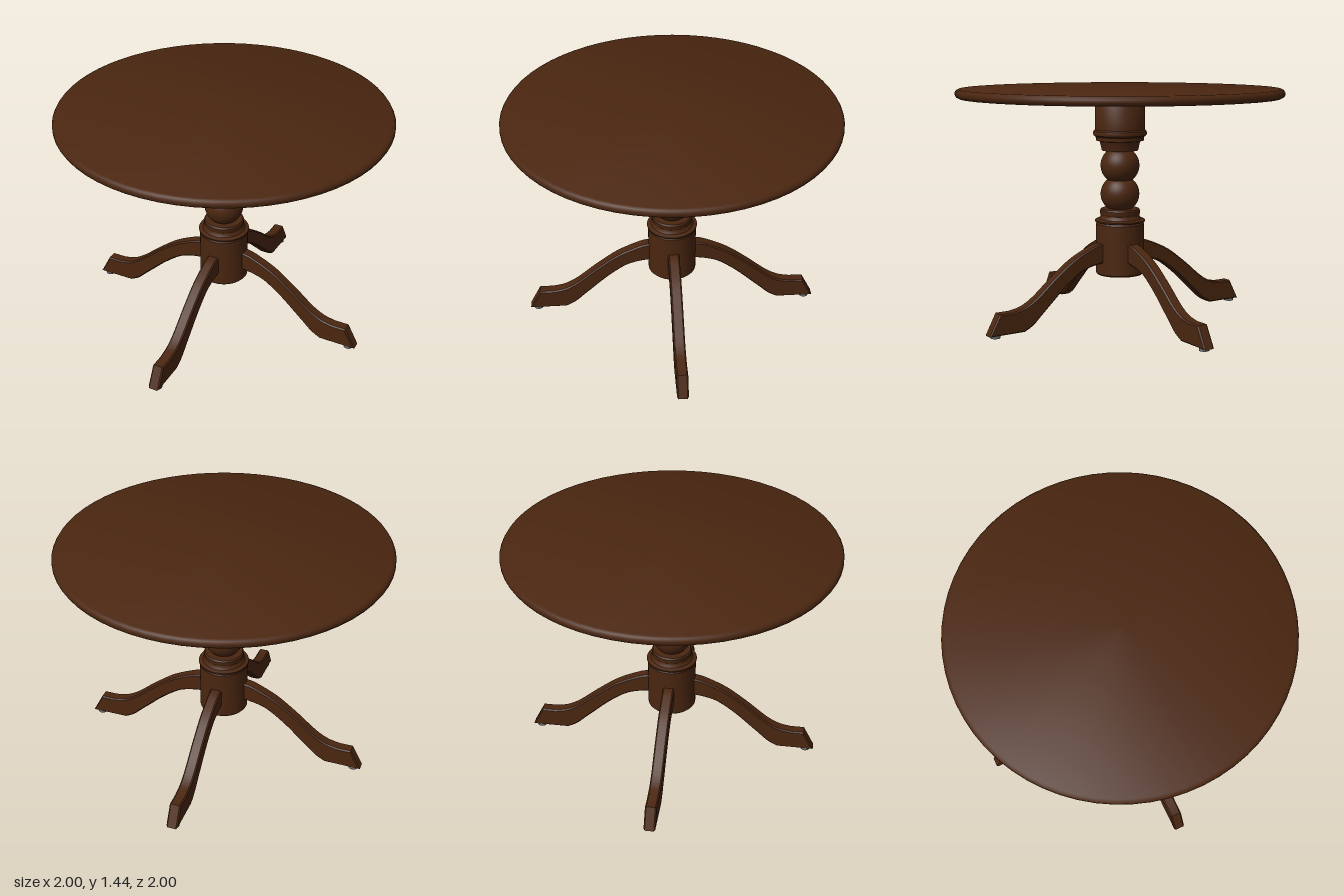
import * as THREE from 'three';
import { toCreasedNormals } from 'three/addons/utils/BufferGeometryUtils.js';

const wood = new THREE.MeshStandardMaterial({ color: 0x4a2610 });
wood.name = 'darkWood';
const pad = new THREE.MeshStandardMaterial({ color: 0x6a6c70 });
pad.name = 'greyPad';

function addMesh(parent, name, geometry, material) {
  const mesh = new THREE.Mesh(geometry, material);
  mesh.name = name;
  parent.add(mesh);
  return mesh;
}

// Turned part from [radius, height] pairs, bottom to top
function turned(profile, segments) {
  const points = profile.map(([r, y]) => new THREE.Vector2(r, y));
  return toCreasedNormals(new THREE.LatheGeometry(points, segments), 0.6);
}

// Points on a ball of the turned column between two heights
function ball(centre, radiusX, radiusY, from, to) {
  const a = Math.asin((from - centre) / radiusY);
  const b = Math.asin((to - centre) / radiusY);
  return Array.from({ length: 15 }, (_, i) => {
    const t = a + ((b - a) * i) / 14;
    return [radiusX * Math.cos(t), centre + radiusY * Math.sin(t)];
  });
}

// S-curved leg with a flared foot, drawn as distance from the axis and height
function legGeometry() {
  const bevel = 0.008, width = 0.07;
  const curve = (pts) => pts.map(([x, y]) => new THREE.Vector2(x, y));
  const s = new THREE.Shape();
  s.moveTo(0.09, 0.37);
  s.lineTo(0.15, 0.37);
  s.splineThru(curve([[0.22, 0.358], [0.29, 0.335], [0.36, 0.29], [0.435, 0.23], [0.5, 0.17], [0.565, 0.11], [0.63, 0.05], [0.69, 0.016]]));
  s.lineTo(0.922, 0.016);
  s.lineTo(0.855, 0.144);
  s.lineTo(0.77, 0.144);
  s.splineThru(curve([[0.69, 0.162], [0.607, 0.21], [0.48, 0.315], [0.35, 0.41], [0.226, 0.47], [0.16, 0.49], [0.09, 0.494]]));
  s.closePath();
  const g = new THREE.ExtrudeGeometry(s, {
    depth: width - 2 * bevel, curveSegments: 24,
    bevelEnabled: true, bevelThickness: bevel, bevelSize: bevel, bevelOffset: -bevel, bevelSegments: 1,
  });
  g.translate(0, 0, -width / 2 + bevel);
  return toCreasedNormals(g, 0.5);
}

export function createModel() {
  const table = new THREE.Group();
  table.name = 'pedestalTable';

  // Round top with a softened rim, and the mounting plate under it
  addMesh(table, 'tableTop', turned([
    [0, 1.385], [0.978, 1.385], [0.992, 1.392], [1, 1.405], [1, 1.42], [0.992, 1.433], [0.978, 1.44], [0, 1.44],
  ], 64), wood);
  addMesh(table, 'mountingPlate', turned([[0, 1.348], [0.31, 1.348], [0.31, 1.387], [0, 1.387]], 48), wood);

  // Turned column
  addMesh(table, 'column', turned([
    [0, 0.288], [0.142, 0.288], [0.15, 0.297], [0.15, 0.605], [0.143, 0.615],
    [0.156, 0.62], [0.156, 0.628], [0.132, 0.636], [0.122, 0.65], [0.12, 0.66],
    [0.124, 0.667], [0.124, 0.688], [0.117, 0.698], [0.075, 0.7],
    ...ball(0.79, 0.12, 0.117, 0.702, 0.877),
    ...ball(0.967, 0.12, 0.117, 0.878, 1.058),
    [0.112, 1.06], [0.122, 1.105], [0.128, 1.118], [0.148, 1.122], [0.148, 1.132],
    [0.15, 1.145], [0.163, 1.154], [0.166, 1.166], [0.163, 1.18], [0.153, 1.188],
    [0.153, 1.338], [0.146, 1.35], [0, 1.35],
  ], 48), wood);

  // Four legs, each with a small floor pad
  const legShape = legGeometry();
  const padShape = new THREE.CylinderGeometry(0.03, 0.03, 0.018, 20);
  for (let i = 0; i < 4; i++) {
    const leg = new THREE.Group();
    leg.name = 'leg' + (i + 1);
    leg.rotation.y = THREE.MathUtils.degToRad(-52 + 90 * i);
    addMesh(leg, 'curvedLeg', legShape, wood);
    addMesh(leg, 'footPad', padShape, pad).position.set(0.872, 0.009, 0);
    table.add(leg);
  }
  return table;
}
